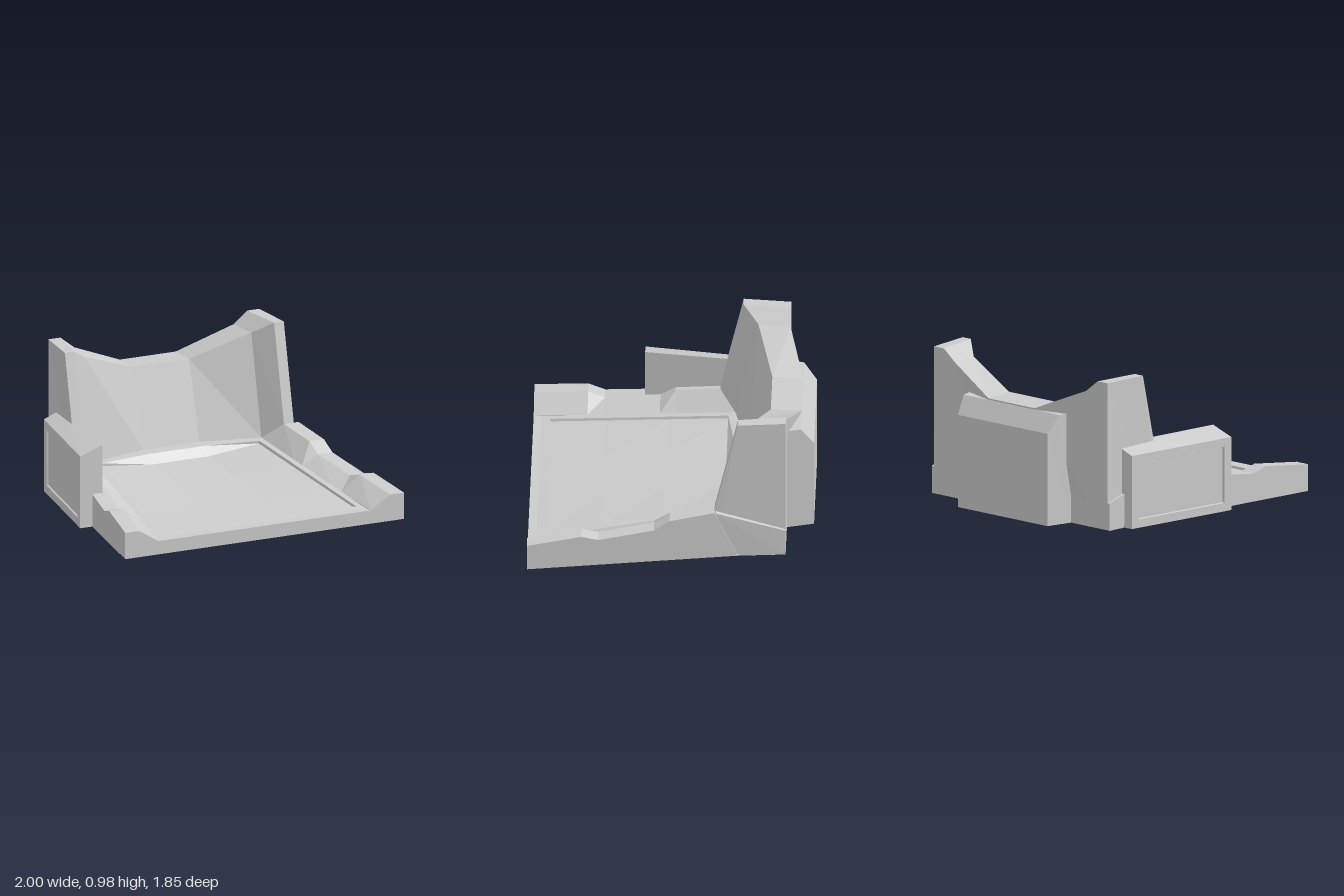
import * as THREE from 'three';

const grey = new THREE.MeshStandardMaterial({ color: 0xcccccc, flatShading: true });
const open = new THREE.MeshStandardMaterial({ color: 0xcccccc, flatShading: true, side: THREE.DoubleSide });

// Joins rows of [x, y, z] points; closed rows become a capped solid facing outward
function loft(name, rows, closed = true) {
  const pos = [];
  const tri = (a, b, c) => pos.push([a, b, c]);
  const n = rows[0].length;
  for (let r = 0; r < rows.length - 1; r++) {
    for (let i = 0; i < (closed ? n : n - 1); i++) {
      const j = (i + 1) % n;
      const a = rows[r][i], b = rows[r][j], c = rows[r + 1][j], d = rows[r + 1][i];
      tri(a, b, c);
      tri(a, c, d);
    }
  }
  if (closed) {
    const s = rows[0], e = rows[rows.length - 1];
    for (let i = 1; i < n - 1; i++) {
      tri(s[0], s[i + 1], s[i]);
      tri(e[0], e[i], e[i + 1]);
    }
    // Turn the faces round if the solid is inside out
    let volume = 0;
    const [A, B, C] = [new THREE.Vector3(), new THREE.Vector3(), new THREE.Vector3()];
    for (const [a, b, c] of pos) volume += A.fromArray(a).dot(B.fromArray(b).cross(C.fromArray(c)));
    if (volume < 0) pos.forEach((t) => t.reverse());
  }
  const geo = new THREE.BufferGeometry();
  geo.setAttribute('position', new THREE.Float32BufferAttribute(pos.flat(2), 3));
  geo.computeVertexNormals();
  const mesh = new THREE.Mesh(geo, closed ? grey : open);
  mesh.name = name;
  return mesh;
}

const flip = ([x, y, z]) => [-x, y, z];
const mirrorRow = (half) => [...half, ...half.map(flip).reverse()];
const lerp = THREE.MathUtils.lerp;

// Plan widths and floor heights along the depth
const outerX = (z) => 1 - 0.149 * (0.92 - z);
const crestX = (z) => 0.9 - 0.153 * (0.92 - z);
const frameX = (z) => 0.76 - 0.122 * (0.92 - z);
const frameY = (z) => 0.09 + 0.135 * Math.max(0, (0.865 - z) / 1.21);

export function createModel() {
  const group = new THREE.Group();

  // Floor: front lip, border, recessed sloping panel and rear ledge
  const floorRows = [];
  const lipRow = (z, y) => mirrorRow([[frameX(z), y, z], [0.705, y, z], [0.7, y, z], [0.2, y, z]]);
  floorRows.push(lipRow(0.92, 0), lipRow(0.92, 0.09), lipRow(0.865, 0.09), lipRow(0.815, frameY(0.815)));
  for (const z of [0.81, 0.45, 0.05, -0.345]) {
    const t = (0.81 - z) / 1.155, px = lerp(0.705, 0.565, t);
    floorRows.push(mirrorRow([
      [frameX(z), frameY(z), z], [px, frameY(z), z],
      [px - 0.005, lerp(0.08, 0.208, t), z], [0.2, lerp(0.08, 0.17, t), z],
    ]));
  }
  floorRows.push(mirrorRow([[0.6, 0.23, -0.39], [0.565, 0.226, -0.345], [0.56, 0.226, -0.345], [0.2, 0.226, -0.4]]));
  floorRows.push(mirrorRow([[0.6, 0.23, -0.39], [0.6, 0.23, -0.39], [0.59, 0.23, -0.392], [0.2, 0.23, -0.48]]));
  group.add(loft('floor', floorRows, false));

  // Underside
  const outline = [[1, 0.92], [0.798, -0.44], [0.775, -0.75]];
  const plan = [...outline, ...outline.map(([x, z]) => [-x, z]).reverse()];
  const under = new THREE.ShapeGeometry(new THREE.Shape(plan.map(([x, z]) => new THREE.Vector2(x, z))));
  under.rotateX(Math.PI / 2);
  const underside = new THREE.Mesh(under, open);
  underside.name = 'underside';
  group.add(underside);

  // Stepped side rails
  const crest = [[0.92, 0.178], [0.57, 0.22], [0.46, 0.187], [0.1, 0.232], [0, 0.295]];
  const rail = crest.map(([z, y]) => [
    [frameX(z), 0, z], [frameX(z), frameY(z), z], [crestX(z), y, z], [outerX(z), y, z], [outerX(z), 0, z],
  ]);
  rail.push([[0.6, 0, -0.39], [0.6, 0.23, -0.39], [0.715, 0.335, -0.29], [0.82, 0.335, -0.29], [0.798, 0, -0.44]]);

  // Rear lower side blocks, parted from the rails by a narrow seam
  const block = [
    [[0.818, 0.33, -0.3], [0.774, 0.18, -0.75], [0.774, 0, -0.75], [0.796, 0, -0.452]],
    [[0.7, 0.33, -0.3], [0.7, 0.18, -0.75], [0.7, 0, -0.75], [0.7, 0, -0.452]],
  ];
  for (const [side, f] of [['left', (p) => p], ['right', flip]]) {
    group.add(loft(side + 'Rail', rail.map((row) => row.map(f))));
    group.add(loft(side + 'RearBlock', block.map((row) => row.map(f))));
  }

  // Curved backrest with raised wings, one section per bend
  const backSection = (fx, fz, fy, tz, ty, rx, rz, ry) => [
    [fx, 0, fz], [fx, fy, fz], [fx, ty, tz], [rx, ry, rz], [rx, 0.18, -0.75], [rx, 0, -0.75],
  ];
  const back = [
    backSection(0.785, -0.29, 0.335, -0.44, 0.98, 0.755, -0.75, 0.98),
    backSection(0.715, -0.29, 0.335, -0.44, 0.98, 0.67, -0.75, 0.98),
    backSection(0.6, -0.39, 0.23, -0.54, 0.9, 0.57, -0.75, 0.9),
    backSection(0.2, -0.48, 0.23, -0.64, 0.748, 0.2, -0.84, 0.74),
  ];
  group.add(loft('backrest', [...back, ...back.map((row) => row.map(flip)).reverse()]));

  // Box behind the backrest
  const box = [[0.44, 0, -0.74], [0.44, 0.73, -0.75], [0.415, 0.73, -0.84], [0.39, 0.615, -0.925], [0.39, 0, -0.925]];
  group.add(loft('rearBox', [box, box.map(flip)]));

  // Upright side panel with a recessed outer face
  const face = (inset, depth) => [[0, 0], [1, 0], [1, 1], [0, 1]].map(([u, v]) => {
    const a = u ? 1 - inset : inset, h = v ? 0.487 - inset * 0.8 : inset * 0.8;
    return [lerp(-0.98, -0.85, a) + depth, h, lerp(0.2, -0.62, a)];
  });
  const inner = [[-0.82, 0, 0.2], [-0.71, 0, -0.62], [-0.71, 0.543, -0.62], [-0.82, 0.543, 0.2]];
  group.add(loft('sidePanel', [inner, face(0, 0), face(0.07, 0), face(0.075, 0.012)]));

  return group;
}
